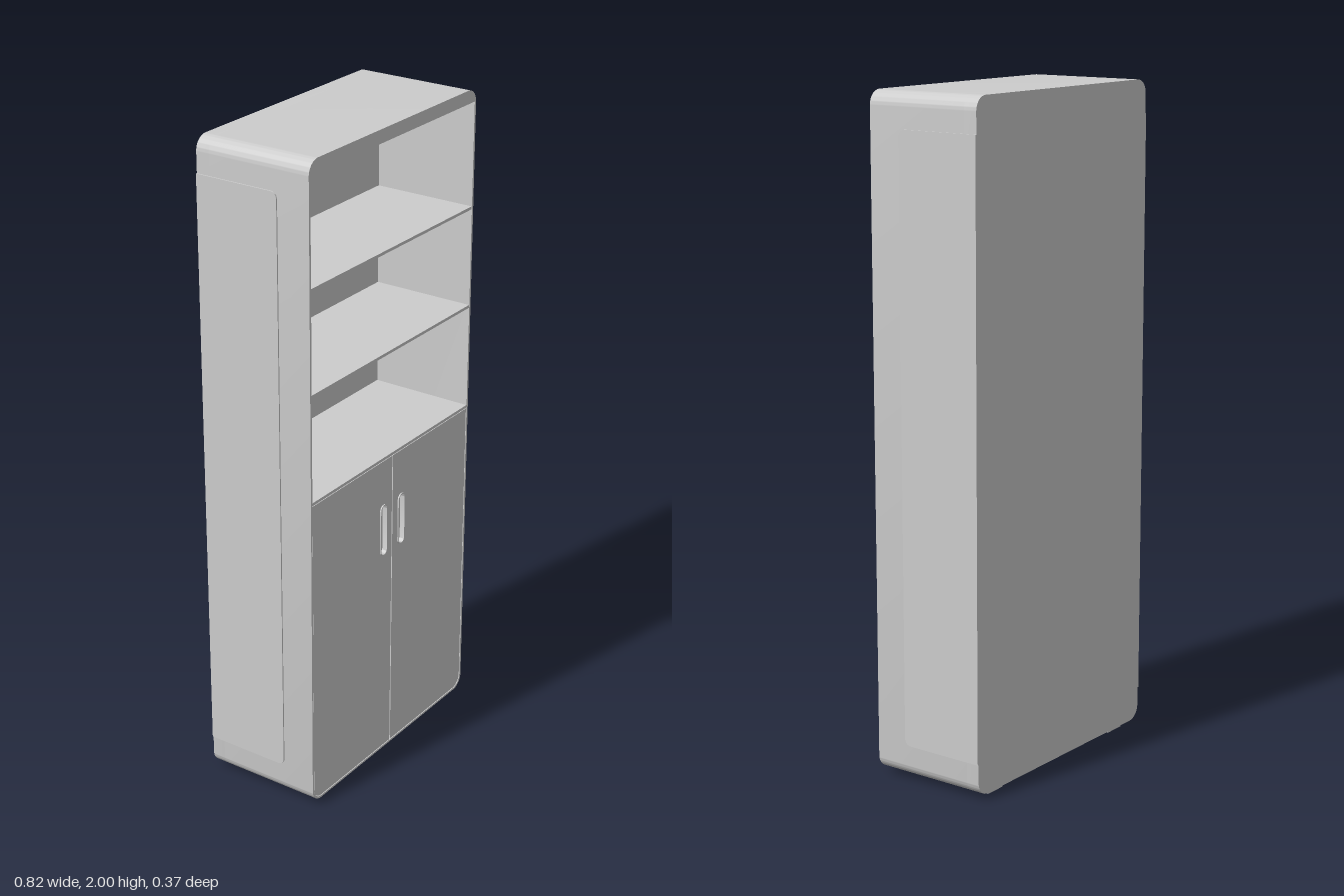
import * as THREE from 'three';
import { toCreasedNormals } from 'three/addons/utils/BufferGeometryUtils.js';

// Rectangle outline with separate corner radii: bottom-left, bottom-right, top-right, top-left
function outline(x0, y0, x1, y1, [bl, br, tr, tl], Type = THREE.Shape) {
  const s = new Type();
  s.moveTo(x0 + bl, y0);
  s.lineTo(x1 - br, y0);
  if (br) s.absarc(x1 - br, y0 + br, br, -Math.PI / 2, 0);
  s.lineTo(x1, y1 - tr);
  if (tr) s.absarc(x1 - tr, y1 - tr, tr, 0, Math.PI / 2);
  s.lineTo(x0 + tl, y1);
  if (tl) s.absarc(x0 + tl, y1 - tl, tl, Math.PI / 2, Math.PI);
  s.lineTo(x0, y0 + bl);
  if (bl) s.absarc(x0 + bl, y0 + bl, bl, Math.PI, Math.PI * 1.5);
  return s;
}

// Extrudes a shape from z0 to z1
function slab(shape, z0, z1) {
  const g = new THREE.ExtrudeGeometry(shape, { depth: z1 - z0, bevelEnabled: false, curveSegments: 10 });
  g.translate(0, 0, z0);
  return toCreasedNormals(g, 0.6);
}

export function createModel() {
  const model = new THREE.Group();
  model.name = 'cabinet';
  const grey = new THREE.MeshStandardMaterial({ color: 0xcccccc });
  grey.name = 'light grey';

  const add = (name, geometry, parent = model) => {
    const mesh = new THREE.Mesh(geometry, grey);
    mesh.name = name;
    parent.add(mesh);
    return mesh;
  };
  const box = (name, x0, x1, y0, y1, z0, z1) => {
    const mesh = add(name, new THREE.BoxGeometry(x1 - x0, y1 - y0, z1 - z0));
    mesh.position.set((x0 + x1) / 2, (y0 + y1) / 2, (z0 + z1) / 2);
    return mesh;
  };

  const W = 0.407, INNER = 0.4, BACK = -0.187, FRONT = 0.183, BACK_IN = -0.145;
  const BOTTOM = 0.015, TOP = 2, R = 0.042;

  // Rounded carcass: a hollow frame closed by a back panel
  const frame = outline(-W, BOTTOM, W, TOP, [R, R, R, R]);
  frame.holes.push(outline(-INNER, 0.021, INNER, 1.96, [0.037, 0.037, 0, 0], THREE.Path));
  add('frame', slab(frame, BACK_IN, FRONT));
  add('backPanel', slab(outline(-W, BOTTOM, W, TOP, [R, R, R, R]), BACK, BACK_IN));

  // Open shelves; the lowest covers the cupboard
  for (const y of [1.0, 1.327, 1.636]) {
    box('shelf', -INNER, INNER, y, y + 0.009, BACK_IN, FRONT - 0.001);
  }

  for (const side of [-1, 1]) {
    // Door with a capsule-shaped grip pocket
    const door = new THREE.Group();
    door.name = side > 0 ? 'leftDoor' : 'rightDoor';
    model.add(door);
    const radii = side > 0 ? [0, 0.035, 0, 0] : [0.035, 0, 0, 0];
    const inner = 0.002, outer = 0.398;
    const leaf = outline(side > 0 ? inner : -outer, 0.023, side > 0 ? outer : -inner, 0.998, radii);
    const capsule = (inset, Type) => {
      const r = 0.017 - inset, c = side * 0.046;
      return outline(c - r, 0.69 + inset, c + r, 0.857 - inset, [r, r, r, r], Type);
    };
    leaf.holes.push(capsule(0.001, THREE.Path));
    add('doorLeaf', slab(leaf, 0.16, FRONT - 0.001), door);
    const rim = capsule(0);
    rim.holes.push(capsule(0.003, THREE.Path));
    add('handleRim', slab(rim, 0.165, 0.186), door);
    add('handlePocket', slab(capsule(0.001), 0.163, 0.17), door);

    // Raised side panel running to the back edge
    const panel = add('sidePanel', slab(outline(-0.08, 0.113, -BACK, 1.897, [0.02, 0, 0, 0.02]), -0.002, 0.002));
    panel.rotation.y = Math.PI / 2;
    panel.position.x = side * (W + 0.002);

    // Low runner underneath
    box('footRunner', side * 0.305 - 0.034, side * 0.305 + 0.034, 0, 0.018, -0.17, 0.17);
  }
  return model;
}
